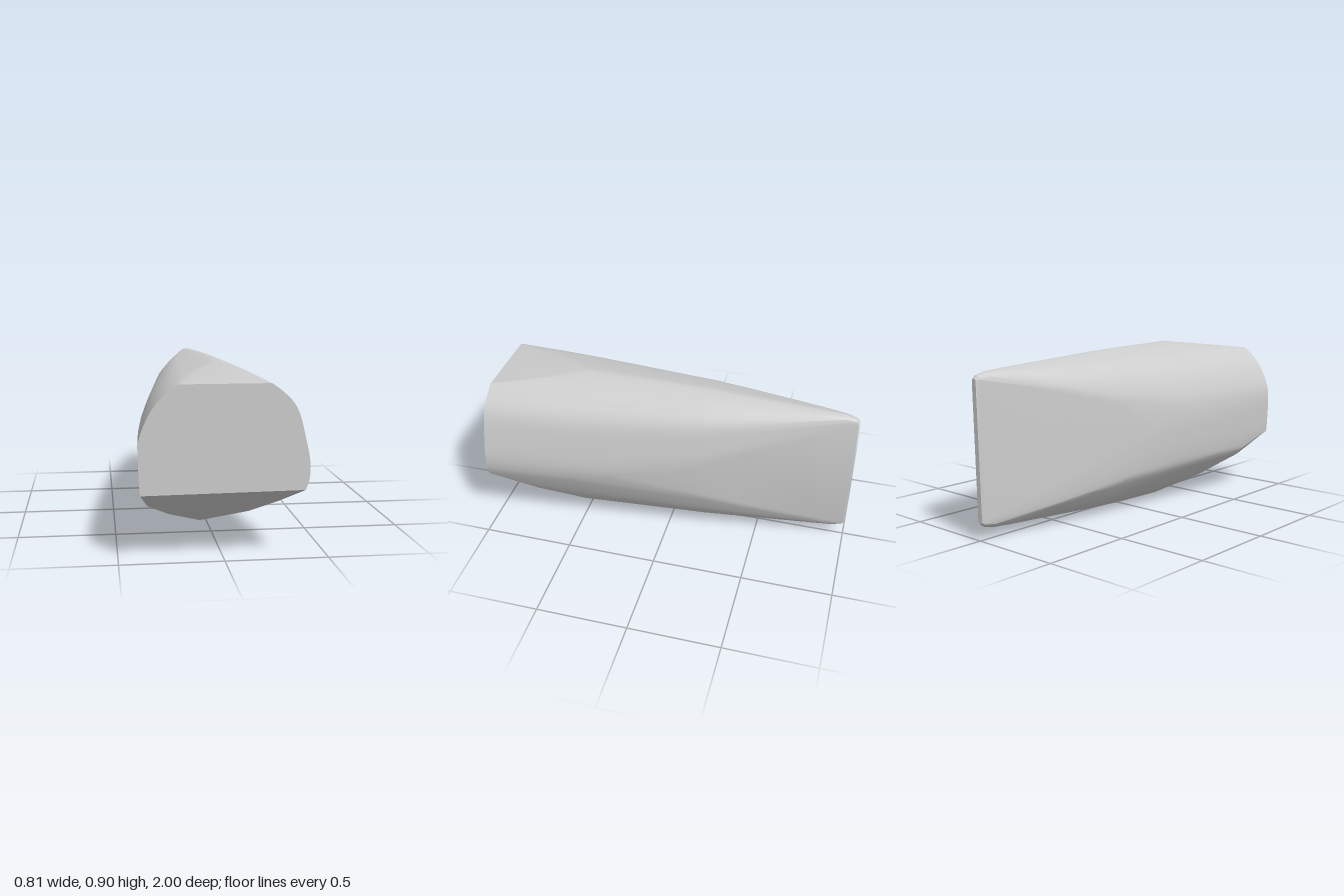
import * as THREE from 'three';
import { toCreasedNormals } from 'three/addons/utils/BufferGeometryUtils.js';
import { ConvexGeometry } from 'three/addons/geometries/ConvexGeometry.js';

const CENTRE_Y = 0.452;

// Full round cross-section, clockwise seen from the front, in two halves
const UPPER = [[-0.405, 0.5], [-0.4, 0.59], [-0.37, 0.67], [-0.33, 0.74], [-0.28, 0.795], [-0.205, 0.845],
  [-0.09, 0.876], [0.015, 0.902], [0.055, 0.904], [0.115, 0.888], [0.195, 0.852], [0.25, 0.815], [0.315, 0.755],
  [0.35, 0.69], [0.375, 0.59], [0.398, 0.49], [0.403, 0.43]];
const LOWER = [[0.403, 0.43], [0.398, 0.38], [0.38, 0.33], [0.315, 0.2], [0.262, 0.13], [0.2, 0.07],
  [0.12, 0.03], [0.005, -0.009], [-0.025, -0.012], [-0.065, -0.004], [-0.19, 0.055], [-0.273, 0.13],
  [-0.381, 0.24], [-0.393, 0.3], [-0.4, 0.37], [-0.405, 0.5]];

// Stations along the body: z, width scale, height scale, half height of the straight flank
const STATIONS = [[1, 1, 1, 0], [0.75, 0.96, 0.995, 0], [0.5, 0.9, 0.988, 0], [0.28, 0.836, 0.976, 0],
  [0, 0.725, 0.9, 0.03], [-0.2, 0.635, 0.752, 0.09], [-0.4, 0.495, 0.564, 0.165], [-0.6, 0.345, 0.389, 0.235],
  [-0.8, 0.19, 0.215, 0.305], [-0.93, 0.092, 0.097, 0.35], [-0.985, 0.055, 0.06, 0.352], [-1, 0.035, 0.035, 0.348]];

// Flat cuts above and below the nose; positive means inside
const roofCut = (p) => 0.84 + (1 - p.z) * 0.12 - p.y;
const floorCut = (p) => p.y - 0.329 - 0.01 * p.x + (1 - p.z) * 0.457;

// Smooth a half section; side and lean say which end of the blade it shrinks to
function smoothHalf(points, side, lean) {
  const curve = new THREE.CatmullRomCurve3(points.map(([x, y]) => new THREE.Vector3(x, y, 0)), false, 'centripetal');
  return curve.getPoints(36).map((p) => ({ x: p.x, y: p.y - CENTRE_Y, side, lean }));
}

// Trim a closed loop of points, adding the exact crossings
function clip(loop, inside) {
  const result = [];
  loop.forEach((a, i) => {
    const b = loop[(i + 1) % loop.length];
    const da = inside(a);
    const db = inside(b);
    if (da >= 0) result.push(a);
    if (da * db < 0) result.push(a.clone().lerp(b, da / (da - db)));
  });
  return result;
}

// Convex skin around round sections that narrow to an upright rear blade
function bodyGeometry() {
  const profile = [...smoothHalf(UPPER, 1, 0.016), ...smoothHalf(LOWER, -1, -0.004)];
  const points = STATIONS.flatMap(([z, width, height, flank]) => {
    const shift = -0.013 * (1 - z * z);
    const loop = profile.map((p) => new THREE.Vector3(
      p.x * width + shift + p.lean * (1 - width),
      CENTRE_Y + p.y * height + p.side * flank,
      z,
    ));
    return clip(clip(loop, roofCut), floorCut);
  });
  return toCreasedNormals(new ConvexGeometry(points), 0.35);
}

export function createModel() {
  const group = new THREE.Group();
  group.name = 'taperedWedge';
  const grey = new THREE.MeshStandardMaterial({ color: 0xcccccc });
  grey.name = 'plain grey';
  const body = new THREE.Mesh(bodyGeometry(), grey);
  body.name = 'body';
  group.add(body);
  return group;
}
